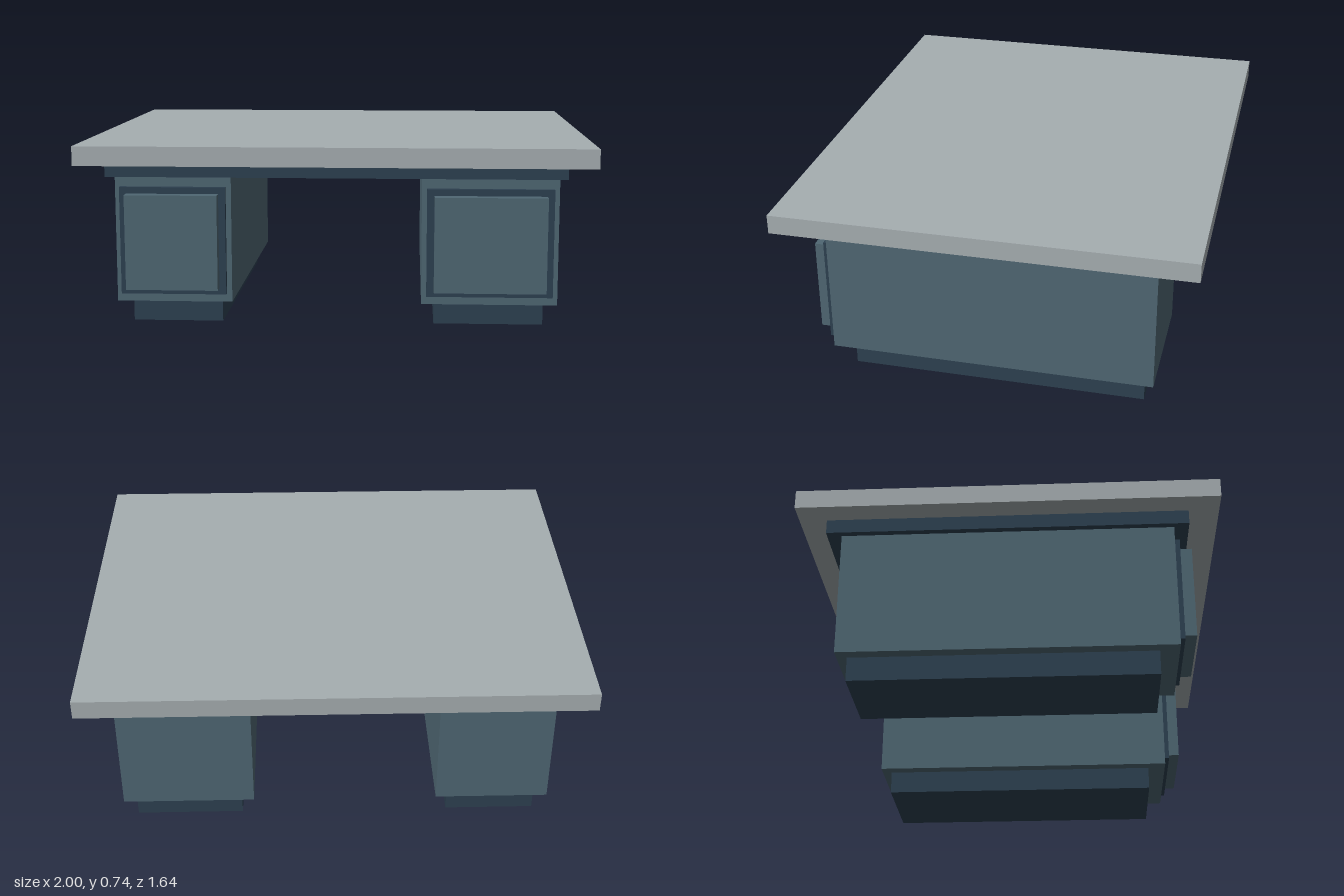
import * as THREE from 'three';

const material = (name, color) => {
  const m = new THREE.MeshStandardMaterial({ color });
  m.name = name;
  return m;
};

// Box given by its extents along each axis
function block(parent, name, mat, [x0, x1], [y0, y1], [z0, z1]) {
  const mesh = new THREE.Mesh(new THREE.BoxGeometry(x1 - x0, y1 - y0, z1 - z0), mat);
  mesh.position.set((x0 + x1) / 2, (y0 + y1) / 2, (z0 + z1) / 2);
  mesh.name = name;
  parent.add(mesh);
}

export function createModel() {
  const model = new THREE.Group();
  model.name = 'desk';
  const stone = material('pale grey top', 0xa6aeb1);
  const slate = material('slate blue', 0x4f6773);
  const navy = material('dark slate', 0x2d4151);

  // Worktop and the recessed slab below it
  block(model, 'worktop', stone, [-1, 1], [0.662, 0.738], [-0.82, 0.82]);
  block(model, 'subTop', navy, [-0.903, 0.899], [0.605, 0.662], [-0.712, 0.702]);

  // Two pedestals, the left one wider
  const pedestals = [
    { name: 'rightPedestal', body: [-0.876, -0.415], plinth: [-0.827, -0.464], frame: [-0.856, -0.436], panel: [-0.828, -0.463] },
    { name: 'leftPedestal', body: [0.337, 0.873], plinth: [0.388, 0.824], frame: [0.357, 0.853], panel: [0.386, 0.824] },
  ];
  for (const p of pedestals) {
    const group = new THREE.Group();
    group.name = p.name;
    block(group, 'plinth', navy, p.plinth, [0, 0.097], [-0.615, 0.57]);
    block(group, 'cabinet', slate, p.body, [0.097, 0.605], [-0.655, 0.645]);
    block(group, 'doorFrame', navy, p.frame, [0.131, 0.56], [0.645, 0.665]);
    block(group, 'doorPanel', slate, p.panel, [0.156, 0.534], [0.665, 0.712]);
    model.add(group);
  }
  return model;
}
